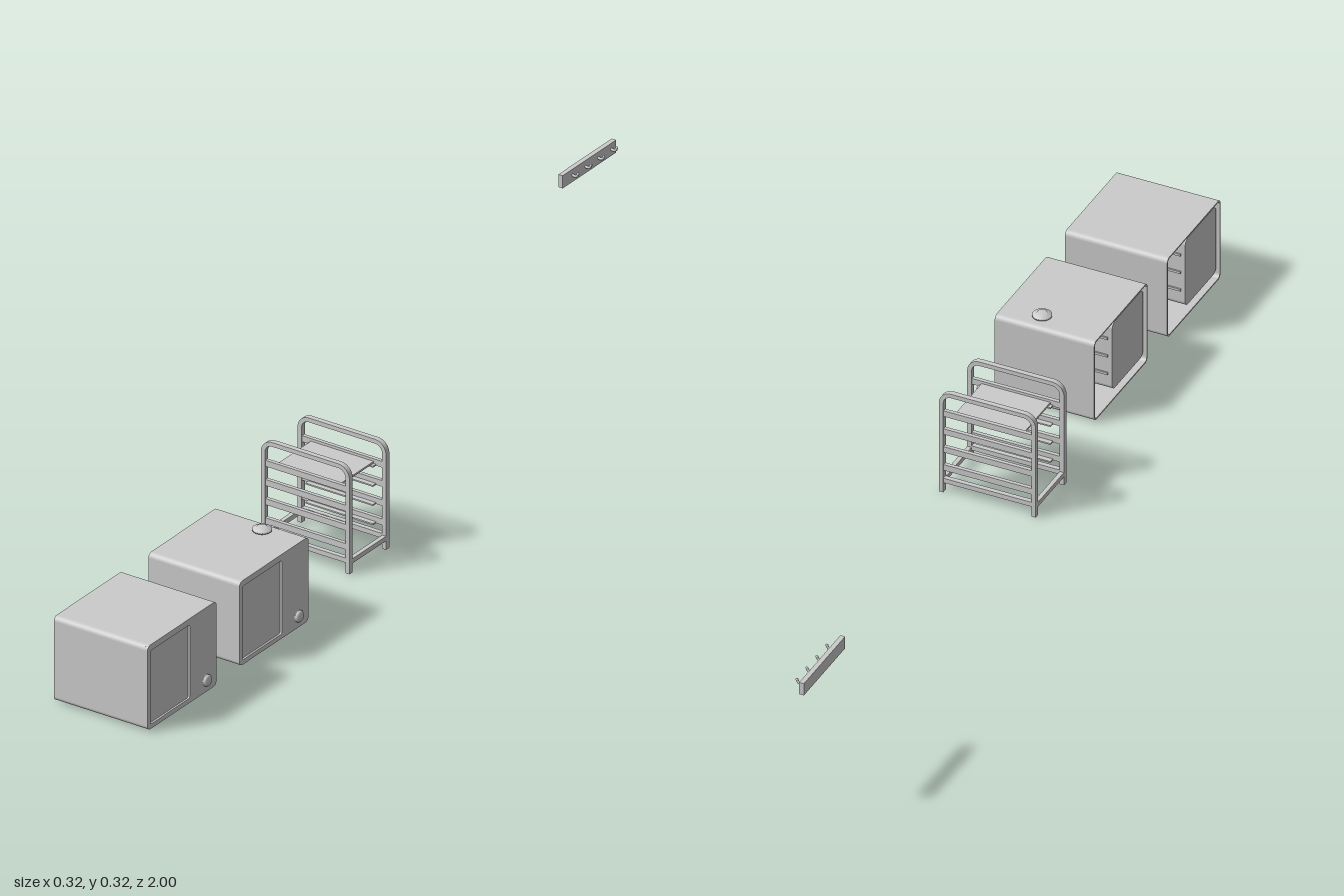
import * as THREE from 'three';

const grey = new THREE.MeshStandardMaterial({ color: 0xcccccc, side: THREE.DoubleSide });

function add(parent, name, geometry, x = 0, y = 0, z = 0) {
  const mesh = new THREE.Mesh(geometry, grey);
  mesh.name = name;
  mesh.position.set(x, y, z);
  parent.add(mesh);
  return mesh;
}

function box(parent, name, w, h, d, x, y, z) {
  return add(parent, name, new THREE.BoxGeometry(w, h, d), x, y, z);
}

// Rounded rectangle; x0..x1 by y0..y1
function roundRect(x0, y0, x1, y1, r, Type = THREE.Shape) {
  const s = new Type();
  s.absarc(x1 - r, y0 + r, r, -Math.PI / 2, 0);
  s.absarc(x1 - r, y1 - r, r, 0, Math.PI / 2);
  s.absarc(x0 + r, y1 - r, r, Math.PI / 2, Math.PI);
  s.absarc(x0 + r, y0 + r, r, Math.PI, Math.PI * 1.5);
  s.closePath();
  return s;
}

// Extrudes a shape drawn in (-z, y) along x, from x0 to x1
function alongX(shape, x0, x1) {
  const g = new THREE.ExtrudeGeometry(shape, { depth: x1 - x0, bevelEnabled: false, curveSegments: 8 });
  return g.rotateY(Math.PI / 2).translate(x0, 0, 0);
}

function lathe(points) {
  return new THREE.LatheGeometry(points.map(([r, y]) => new THREE.Vector2(r, y)), 24);
}

// Cabinet with a shell open at the back (-x), a cavity liner and a front with a recessed door
function cabinet(xFront) {
  const g = new THREE.Group();
  g.name = 'cabinet';
  const xBack = -0.063, half = 0.115, y0 = 0.003, y1 = 0.183;

  const shell = roundRect(-half, y0, half, y1, 0.01);
  shell.holes.push(roundRect(-half + 0.003, y0 + 0.003, half - 0.003, y1 - 0.003, 0.008, THREE.Path));
  add(g, 'shell', alongX(shell, xBack, xFront - 0.006));

  const front = roundRect(-half, y0, half, y1, 0.01);
  front.holes.push(roundRect(-0.105, 0.013, 0.026, 0.17, 0.004, THREE.Path));
  add(g, 'frontFrame', alongX(front, xFront - 0.006, xFront));
  add(g, 'door', alongX(roundRect(-0.105, 0.013, 0.026, 0.17, 0.004), xFront - 0.009, xFront - 0.004));

  // Cavity liner with shelf ribs pressed into its sides
  add(g, 'cavityLiner', alongX(roundRect(-0.108, 0.018, 0.025, 0.17, 0.012), xBack + 0.006, xFront - 0.009));
  for (const y of [0.055, 0.095, 0.135])
    box(g, 'shelfRib', xFront - xBack - 0.03, 0.005, 0.004, (xBack + xFront) / 2, y, -0.026);

  const knob = add(g, 'knob', lathe([[0, 0], [0.012, 0], [0.012, 0.004], [0.009, 0.0075], [0, 0.0075]]),
    xFront, 0.028, -0.08);
  knob.rotation.z = -Math.PI / 2;

  for (const x of [-0.035, 0.095])
    for (const z of [-0.09, 0.09])
      add(g, 'foot', new THREE.CylinderGeometry(0.005, 0.004, 0.003, 16), x, 0.0018, z);
  return g;
}

// Rack with two hoop frames, ledge rails, a top shelf and cross bars
function rack() {
  const g = new THREE.Group();
  g.name = 'rack';
  const W = 0.102, T = 0.009, top = 0.229, R = 0.026;

  const hoop = new THREE.Shape();
  hoop.moveTo(-W, 0);
  hoop.lineTo(-W + T, 0);
  hoop.lineTo(-W + T, top - R);
  hoop.absarc(-W + R, top - R, R - T, Math.PI, Math.PI / 2, true);
  hoop.absarc(W - R, top - R, R - T, Math.PI / 2, 0, true);
  hoop.lineTo(W - T, 0);
  hoop.lineTo(W, 0);
  hoop.absarc(W - R, top - R, R, 0, Math.PI / 2);
  hoop.absarc(-W + R, top - R, R, Math.PI / 2, Math.PI);
  hoop.closePath();
  const hoopGeo = new THREE.ExtrudeGeometry(hoop, { depth: 0.011, bevelEnabled: false, curveSegments: 10 })
    .translate(0, 0, -0.0055);

  const inner = 2 * (W - T);
  for (const side of [-1, 1]) {
    add(g, 'hoopFrame', hoopGeo, 0, 0, side * 0.061);
    // Angle rails: upright web and inward ledge
    for (const y of [0.179, 0.138, 0.097, 0.056]) {
      box(g, 'railWeb', inner, 0.013, 0.008, 0, y, side * 0.061);
      box(g, 'railLedge', inner - 0.03, 0.003, 0.011, 0, y - 0.005, side * 0.052);
    }
    box(g, 'bottomRail', inner, 0.01, 0.01, 0, 0.027, side * 0.061);
    box(g, 'crossBar', T, 0.01, 0.112, side * (W - T / 2), 0.024, 0);
  }
  box(g, 'topShelf', 0.145, 0.004, 0.115, 0, 0.178, 0);
  g.position.set(-0.002, 0, 0.185);
  return g;
}

// Wall rail with four upturned hooks
function hookRail() {
  const g = new THREE.Group();
  g.name = 'hookRail';
  box(g, 'backPlate', 0.01, 0.027, 0.178, -0.157, 0.302, -0.911);
  const path = new THREE.CatmullRomCurve3([
    [-0.153, 0.303], [-0.147, 0.302], [-0.142, 0.304], [-0.1395, 0.309],
  ].map(([x, y]) => new THREE.Vector3(x, y, 0)));
  const hook = new THREE.TubeGeometry(path, 12, 0.0027, 10);
  const tip = new THREE.SphereGeometry(0.0028, 10, 8);
  for (let i = 0; i < 4; i++) {
    const z = -0.984 + i * 0.043;
    add(g, 'hook', hook, 0, 0, z);
    add(g, 'hookTip', tip, -0.1395, 0.309, z);
  }
  return g;
}

export function createModel() {
  const model = new THREE.Group();
  model.name = 'kitchenSet';

  const first = cabinet(0.153);
  first.position.z = 0.885;
  const second = cabinet(0.147);
  second.position.z = 0.57;
  // Vent cap on the second cabinet
  add(second, 'ventCap', lathe([[0.012, -0.001], [0.012, 0.003], [0.019, 0.004], [0.019, 0.008],
    [0.011, 0.0095], [0.01, 0.012], [0, 0.012]]), 0.064, 0.183, -0.08);

  model.add(first, second, rack(), hookRail());
  return model;
}
